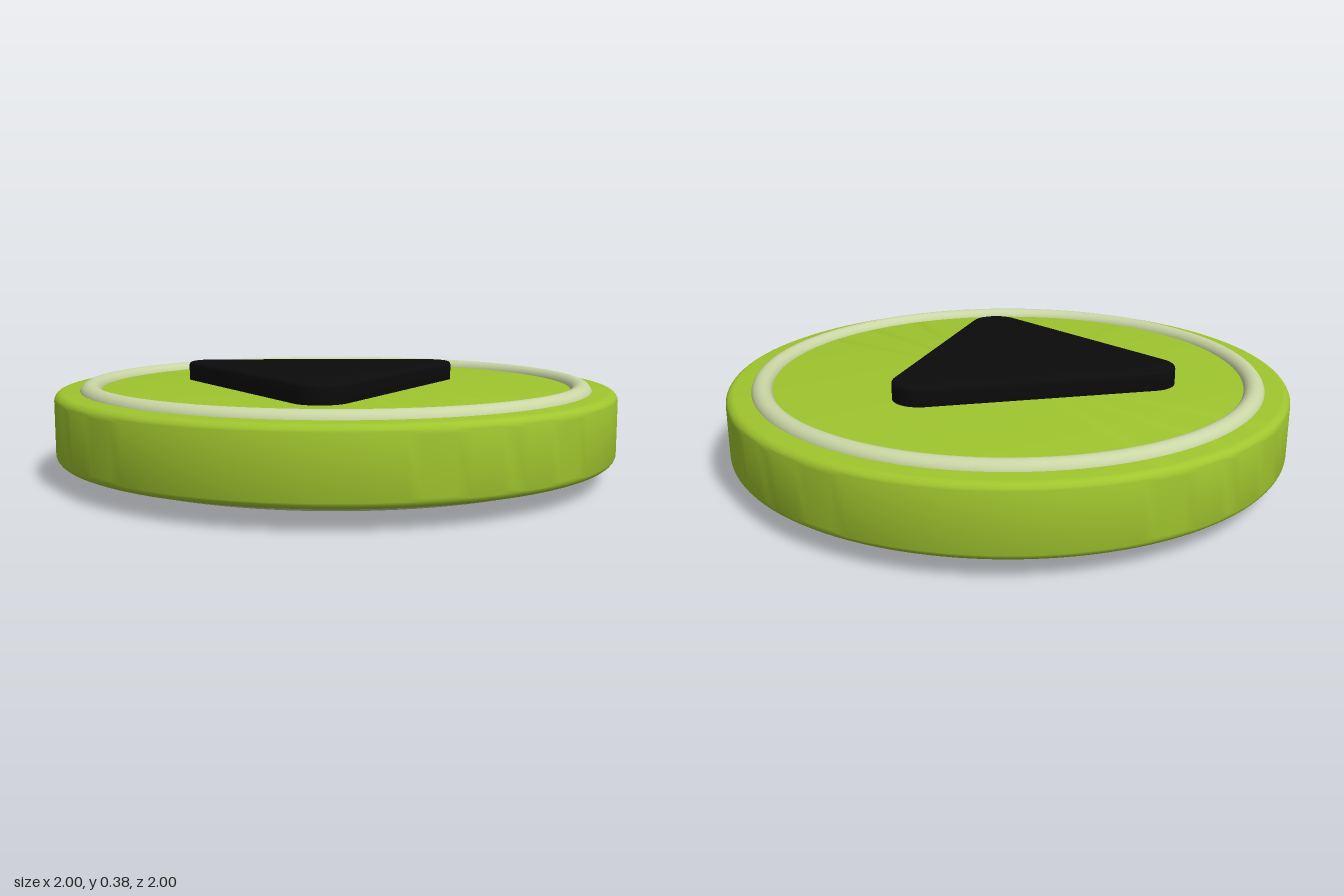
import * as THREE from 'three';
import { toCreasedNormals } from 'three/addons/utils/BufferGeometryUtils.js';

const MID = 0.1875; // height of the middle plane

export function createModel() {
  const green = new THREE.MeshStandardMaterial({ name: 'lime green', color: 0x9fc52e });
  const pale = new THREE.MeshStandardMaterial({ name: 'pale green', color: 0xcad6a6 });
  const black = new THREE.MeshStandardMaterial({ name: 'black', color: 0x0b0b0b });

  const model = new THREE.Group();
  model.name = 'playButton';
  const add = (parent, name, geometry, material) => {
    const mesh = new THREE.Mesh(geometry, material);
    mesh.name = name;
    parent.add(mesh);
    return mesh;
  };

  // Disc with rounded rims
  const half = 0.12, r = 0.03, steps = 6;
  const profile = [new THREE.Vector2(0, -half)];
  for (const side of [-1, 1]) {
    for (let i = 0; i <= steps; i++) {
      const a = (side < 0 ? i / steps - 1 : i / steps) * Math.PI / 2;
      profile.push(new THREE.Vector2(1 - r + r * Math.cos(a), side * (half - r) + r * Math.sin(a)));
    }
  }
  profile.push(new THREE.Vector2(0, half));
  const disc = toCreasedNormals(new THREE.LatheGeometry(profile, 128), 0.5);
  add(model, 'disc', disc, green).position.y = MID;

  // Play triangle with rounded corners, laid flat
  const corner = 0.098, bevel = 0.012;
  const inner = corner - bevel;
  const centres = [[0.4, 0], [-0.3, 0.404], [-0.3, -0.404]];
  const shape = new THREE.Shape();
  centres.forEach(([x, y], i) => {
    const mid = i * Math.PI * 2 / 3;
    shape.absarc(x, y, inner, mid - Math.PI / 3, mid + Math.PI / 3, false);
  });
  shape.closePath();
  const base = 0.11;
  const extruded = new THREE.ExtrudeGeometry(shape, {
    depth: MID - base - 2 * bevel, bevelEnabled: true, bevelThickness: bevel,
    bevelSize: bevel, bevelSegments: 4, curveSegments: 14,
  });
  extruded.translate(0, 0, base + bevel);
  extruded.rotateX(-Math.PI / 2);
  const triangle = toCreasedNormals(extruded, 0.6);

  // Raised ring and triangle, repeated on the underside by a half turn
  const tube = 0.0375;
  const ring = new THREE.TorusGeometry(0.8765, tube, 24, 128);
  ring.rotateX(Math.PI / 2);
  ring.translate(0, 0.147 - tube, 0);
  for (const name of ['top', 'bottom']) {
    const face = new THREE.Group();
    face.name = name + 'Face';
    face.position.y = MID;
    if (name === 'bottom') face.rotation.z = Math.PI;
    add(face, name + 'Ring', ring, pale);
    add(face, name + 'Triangle', triangle, black);
    model.add(face);
  }
  return model;
}
